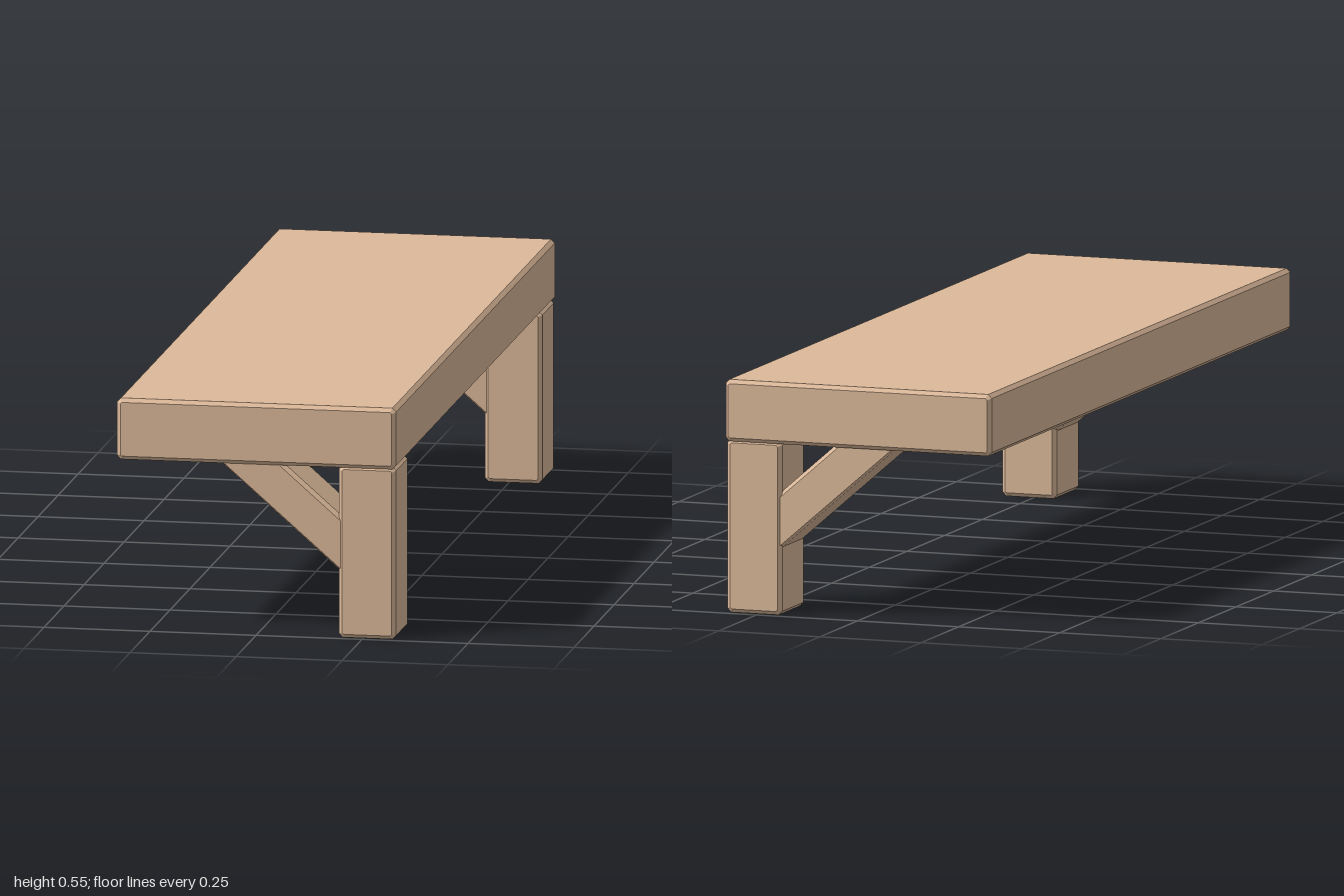
import * as THREE from 'three';

const wood = new THREE.MeshStandardMaterial({ color: 0xdcb99a });
const BEVEL = 0.009;

// Prism along z from an x/y outline, with chamfered rims, spanning z0..z1
function chamferedPrism(name, points, z0, z1) {
  const shape = new THREE.Shape(points.map(([x, y]) => new THREE.Vector2(x, y)));
  const geometry = new THREE.ExtrudeGeometry(shape, {
    depth: z1 - z0 - 2 * BEVEL,
    bevelEnabled: true,
    bevelSegments: 1,
    bevelSize: BEVEL,
    bevelThickness: BEVEL,
    bevelOffset: -BEVEL,
  });
  geometry.translate(0, 0, z0 + BEVEL);
  const mesh = new THREE.Mesh(geometry, wood);
  mesh.name = name;
  return mesh;
}

// Rectangle outline with cut corners
function cutRect(x0, x1, y0, y1, c = BEVEL) {
  return [
    [x0 + c, y0], [x1 - c, y0], [x1, y0 + c], [x1, y1 - c],
    [x1 - c, y1], [x0 + c, y1], [x0, y1 - c], [x0, y0 + c],
  ];
}

export function createModel() {
  const bench = new THREE.Group();
  bench.name = 'bench';

  // Thick plank seat
  bench.add(chamferedPrism('seat', cutRect(-0.329, 0.329, 0.403, 0.548), -1, 1));

  // One post and one diagonal brace at each end; brace ends run into post and seat
  const braceOutline = [[0.25, 0.11], [0.25, 0.242], [0.012, 0.45], [-0.139, 0.45]];
  for (const [end, z0, z1] of [['front', 0.836, 0.994], ['back', -0.99, -0.832]]) {
    const support = new THREE.Group();
    support.name = `${end}Support`;
    support.add(
      chamferedPrism(`${end}Leg`, cutRect(0.193, 0.328, 0, 0.408), z0, z1),
      chamferedPrism(`${end}Brace`, braceOutline, z0 + 0.005, z1 - 0.005),
    );
    bench.add(support);
  }
  return bench;
}
